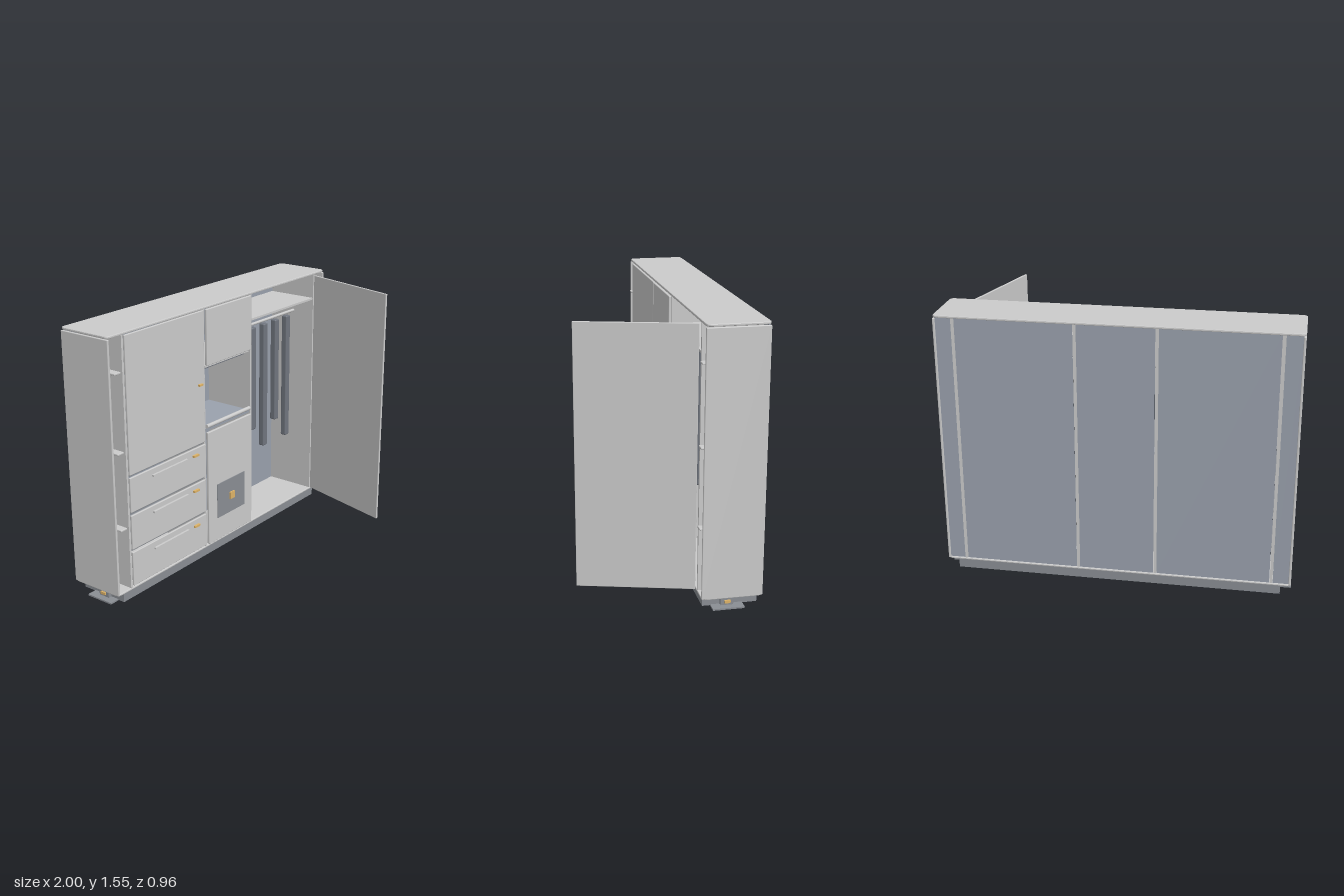
import * as THREE from 'three';
import { RoundedBoxGeometry } from 'three/addons/geometries/RoundedBoxGeometry.js';

const mat = (color) => new THREE.MeshStandardMaterial({ color });
const GREY = mat(0xcccccc), BLUE = mat(0x9aa1ad), SLATE = mat(0x8a8e94);
const DARK = mat(0x70757e), GOLD = mat(0xdfb468);

export function createModel() {
  const root = new THREE.Group();

  const add = (name, geometry, material) => {
    const mesh = new THREE.Mesh(geometry, material);
    mesh.name = name;
    root.add(mesh);
    return mesh;
  };
  // Box given by its limits on each axis; r rounds the edges
  const box = (name, [x0, x1], [y0, y1], [z0, z1], material = GREY, r = 0) => {
    const size = [x1 - x0, y1 - y0, z1 - z0];
    const g = r ? new RoundedBoxGeometry(...size, 2, r) : new THREE.BoxGeometry(...size);
    const mesh = add(name, g, material);
    mesh.position.set((x0 + x1) / 2, (y0 + y1) / 2, (z0 + z1) / 2);
    return mesh;
  };
  const rod = (name, [x0, x1], y, z, r, material = GREY) => {
    const mesh = add(name, new THREE.CylinderGeometry(r, r, x1 - x0, 16), material);
    mesh.rotation.z = Math.PI / 2;
    mesh.position.set((x0 + x1) / 2, y, z);
  };
  // Horizontal board with rounded corners
  const board = (name, y, thickness) => {
    const w = 0.995, z0 = 0.152, z1 = 0.48, r = 0.025;
    const s = new THREE.Shape();
    s.moveTo(-w + r, z0);
    s.lineTo(w - r, z0);
    s.quadraticCurveTo(w, z0, w, z0 + r);
    s.lineTo(w, z1 - r);
    s.quadraticCurveTo(w, z1, w - r, z1);
    s.lineTo(-w + r, z1);
    s.quadraticCurveTo(-w, z1, -w, z1 - r);
    s.lineTo(-w, z0 + r);
    s.quadraticCurveTo(-w, z0, -w + r, z0);
    const b = 0.004;
    const g = new THREE.ExtrudeGeometry(s, {
      depth: thickness - 2 * b, bevelSize: b, bevelThickness: b, bevelSegments: 2, curveSegments: 6,
    });
    g.rotateX(-Math.PI / 2);
    add(name, g, GREY).position.y = y + b;
  };

  // Carcass: top, bottom, sides and upright partitions
  const inside = [-0.472, -0.152];
  board('top', 1.541, 0.014);
  board('bottom', 0.065, 0.012);
  for (const s of [-1, 1]) {
    const name = s < 0 ? 'rightSide' : 'leftSide';
    box(name, [s * 0.992 - 0.007, s * 0.992 + 0.007], [0.068, 1.537], [-0.482, -0.147], GREY, 0.004);
  }
  for (const x of [-0.887, -0.225, 0.22, 0.89]) {
    box('partition', [x - 0.007, x + 0.007], [0.075, 1.543], [-0.48, -0.15]);
  }
  // Back panels between the partitions
  const bays = [[-0.986, -0.897], [-0.877, -0.235], [-0.215, 0.21], [0.23, 0.88], [0.9, 0.986]];
  for (const bay of bays) box('backPanel', bay, [0.076, 1.542], [-0.476, -0.468], BLUE);

  // Open end niches with narrow shelves
  for (const s of [-1, 1]) {
    for (const y of [0.457, 0.902, 1.347]) {
      box('endShelf', [s * 0.943 - 0.024, s * 0.943 + 0.024], [y - 0.006, y + 0.006], [-0.47, -0.137], GREY, 0.004);
    }
  }

  // Left bay: tall door above three drawers
  const leftBay = [-0.88, -0.235];
  box('cupboardDoor', leftBay, [0.755, 1.54], [-0.152, -0.138], GREY, 0.004);
  box('doorKnob', [-0.295, -0.262], [1.109, 1.12], [-0.138, -0.124], GOLD);
  [[0.09, 0.255], [0.312, 0.48], [0.535, 0.7]].forEach(([y, handleY]) => {
    box('drawerFront', leftBay, [y, y + 0.205], [-0.152, -0.138], GREY, 0.004);
    box('drawerHandle', [-0.706, -0.408], [handleY - 0.005, handleY + 0.005], [-0.14, -0.124]);
    box('drawerLock', [-0.355, -0.31], [handleY - 0.006, handleY + 0.006], [-0.14, -0.124], GOLD);
    box('drawerRail', leftBay, [y + 0.206, y + 0.218], [-0.47, -0.157], SLATE);
  });

  // Middle bay: upper door, open niche, lower door with plate
  const midBay = [-0.213, 0.208];
  box('upperDoor', midBay, [1.21, 1.54], [-0.152, -0.135], GREY, 0.004);
  box('nicheCeiling', midBay, [1.196, 1.208], inside);
  box('nicheLight', [-0.185, 0.18], [1.182, 1.192], [-0.185, -0.17], DARK);
  box('nicheFloor', midBay, [0.81, 0.825], inside, BLUE);
  rod('nicheBar', [-0.208, 0.203], 0.838, -0.15, 0.012);
  box('lowerDoor', midBay, [0.085, 0.803], [-0.152, -0.135], GREY, 0.004);
  box('doorPlate', [-0.135, 0.132], [0.23, 0.45], [-0.137, -0.131], SLATE);
  for (const x of [-0.011, 0.011]) {
    box('doorLatch', [x - 0.01, x + 0.01], [0.318, 0.362], [-0.133, -0.12], GOLD);
  }

  // Wardrobe bay: shelf, rails and hanging strips
  const wardrobe = [0.23, 0.88];
  box('hatShelf', wardrobe, [1.38, 1.392], inside);
  rod('backRail', [0.24, 0.88], 1.335, -0.37, 0.007, DARK);
  rod('hangingRail', [0.24, 0.88], 1.29, -0.3, 0.009);
  [0.31, 0.432, 0.555, 0.678, 0.8].forEach((x, i) => {
    box('hangingStrip', [x - 0.022, x + 0.022], [i % 2 ? 0.6 : 0.455, 1.272], [-0.32, -0.28], DARK, 0.008);
  });

  // Wardrobe door swung open on its outer edge
  const hinge = new THREE.Group();
  hinge.name = 'openDoorHinge';
  hinge.position.set(0.885, 0, -0.14);
  hinge.rotation.y = Math.atan2(-0.165, 0.62);
  root.add(hinge);
  const door = new THREE.Mesh(new RoundedBoxGeometry(0.013, 1.457, 0.64, 2, 0.003), GREY);
  door.name = 'openDoor';
  door.position.set(0, 0.809, 0.32);
  hinge.add(door);

  // Plinth with a foot at each end
  box('plinth', [-0.94, 0.94], [0.004, 0.066], [-0.467, -0.165], SLATE);
  for (const s of [-1, 1]) {
    const span = (a, b) => (s > 0 ? [a, b] : [-b, -a]);
    box('footStem', span(0.935, 0.962), [0.008, 0.066], [-0.332, -0.262], SLATE);
    box('footPlate', span(0.93, 1), [0, 0.009], [-0.385, -0.21], SLATE);
    box('footLatch', span(0.955, 0.972), [0.022, 0.038], [-0.315, -0.282], GOLD);
  }
  return root;
}
